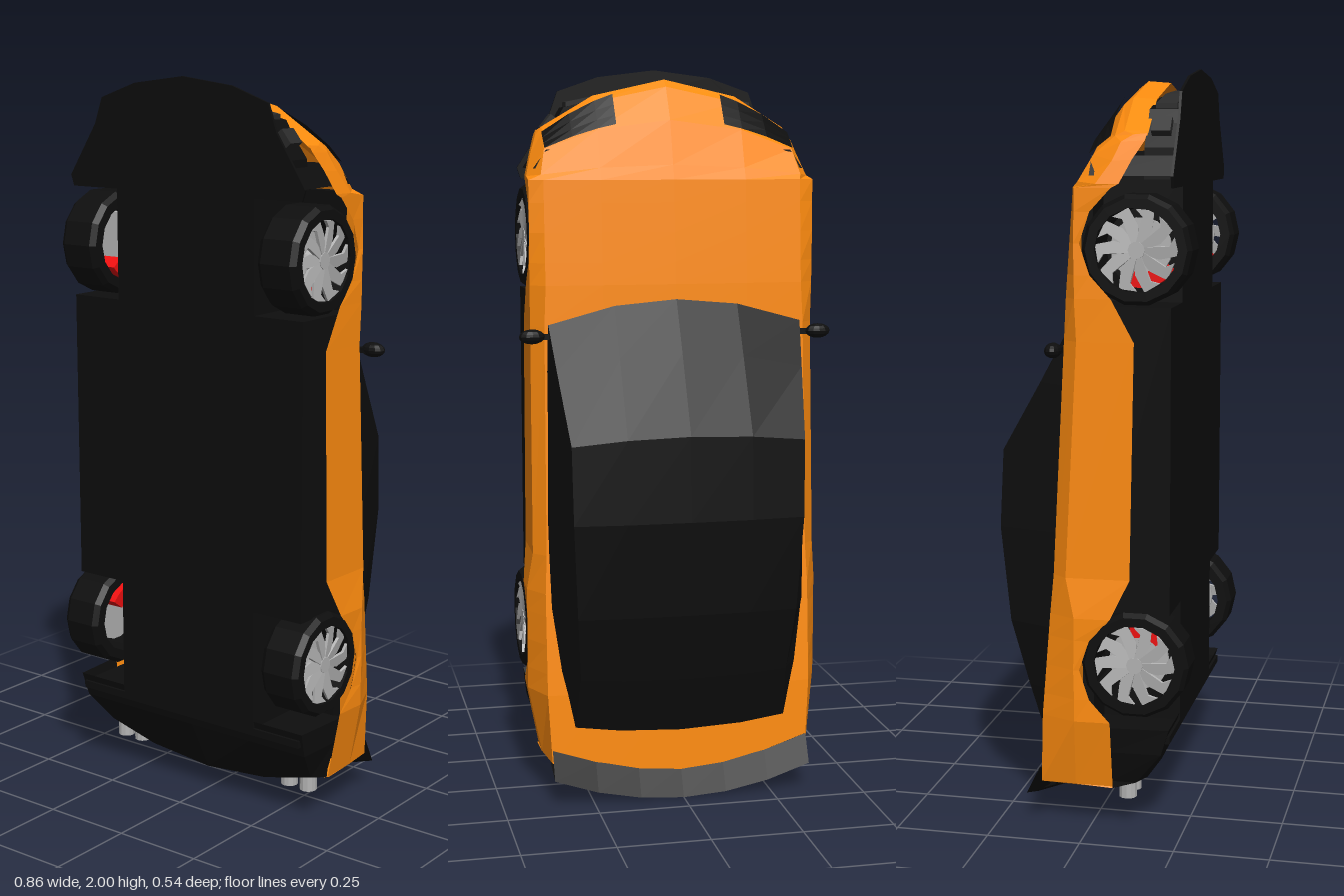
import * as THREE from 'three';

const mat = (color) => new THREE.MeshStandardMaterial({ color, flatShading: true, side: THREE.DoubleSide });
const orange = mat(0xff8c0f), black = mat(0x0e0e0e), dark = mat(0x2b2b2b);
const silver = mat(0xb4b4b4), red = mat(0xf01010);

function add(parent, name, geo, material) {
  const m = new THREE.Mesh(geo, material);
  m.name = name;
  parent.add(m);
}

// Lofts mirrored half sections. Row: [y at centre, bow in plan, [x, z], [x, z], ...] from outside to centre.
function loft(rows) {
  return skin(rows.map(([y, bow, ...half]) => {
    const other = half.filter((p) => p[0] > 0).reverse().map(([x, z]) => [-x, z]);
    return [...half, ...other].map(([x, z]) => [x, y - bow * (x / 0.39) ** 2, z]);
  }));
}

// Faceted surface over rows of points
function skin(grid) {
  const n = grid[0].length, index = [];
  for (let i = 0; i < grid.length - 1; i++) {
    for (let j = 0; j < n - 1; j++) {
      const a = i * n + j, b = a + 1, d = a + n, c = d + 1;
      index.push(a, d, b, b, d, c);
    }
  }
  const g = new THREE.BufferGeometry();
  g.setAttribute('position', new THREE.Float32BufferAttribute(grid.flat(2), 3));
  g.setIndex(index);
  const flat = g.toNonIndexed();
  flat.computeVertexNormals();
  return flat;
}

// Plan outline given for the +x half, extruded between two heights
function slab(half, z0, z1) {
  const pts = [...half, ...half.slice().reverse().map(([x, y]) => [-x, y])];
  const shape = new THREE.Shape(pts.map(([x, y]) => new THREE.Vector2(x, y)));
  return new THREE.ExtrudeGeometry(shape, { depth: z1 - z0, bevelEnabled: false }).translate(0, 0, z0);
}

function buildWheel() {
  const wheel = new THREE.Group();
  // Hollow tyre with its axle along x
  const profile = [[0.105, -0.06], [0.132, -0.06], [0.143, -0.045], [0.143, 0.045], [0.132, 0.06], [0.108, 0.06], [0.105, -0.06]];
  const tyre = new THREE.LatheGeometry(profile.map(([r, h]) => new THREE.Vector2(r, h)), 14);
  add(wheel, 'tyre', tyre.rotateZ(-Math.PI / 2), black);
  add(wheel, 'brakeDisc', new THREE.CylinderGeometry(0.08, 0.08, 0.012, 18).rotateZ(Math.PI / 2).translate(-0.01, 0, 0), silver);
  add(wheel, 'hub', new THREE.CylinderGeometry(0.022, 0.026, 0.05, 10).rotateZ(-Math.PI / 2).translate(0.03, 0, 0), silver);
  // Swept turbine blades
  const blade = new THREE.Shape();
  blade.moveTo(0.012, -0.01);
  blade.lineTo(0.06, -0.022);
  blade.lineTo(0.108, -0.012);
  blade.lineTo(0.098, 0.034);
  blade.lineTo(0.085, 0.012);
  blade.lineTo(0.015, 0.008);
  for (let i = 0; i < 10; i++) {
    const g = new THREE.ExtrudeGeometry(blade, { depth: 0.008, bevelEnabled: false });
    g.rotateX(0.15).rotateZ((i / 10) * Math.PI * 2).rotateY(Math.PI / 2).translate(0.045, 0, 0);
    add(wheel, 'rimBlade', g, silver);
  }
  return wheel;
}

// One body section: sill edge, side crease, shoulder and a gently crowned top
const section = (y, bow, x, sillZ, creaseZ, topX, topZ) =>
  [y, bow, [x, sillZ], [x + 0.004, creaseZ], [topX, topZ], [0.2, topZ - 0.006], [0, topZ - 0.008]];

// Sections over a wheel, with the sill edge raised into a faceted arch
const arch = (yMid, x, topX, topZ, slope) => [0.14, 0.08, 0, -0.08, -0.14].map((d) => {
  const sillZ = -0.022 + 0.082 * (d / 0.14) ** 2;
  return section(yMid + d, 0, x, sillZ, Math.min(sillZ, -0.02) - 0.015, topX, topZ + slope * d);
});

export function createModel() {
  const car = new THREE.Group();
  car.name = 'car';

  // Painted shell from nose to tail
  add(car, 'bodyShell', loft([
    section(1.965, 0.17, 0.345, 0.146, 0.146, 0.33, 0.146),
    section(1.97, 0.17, 0.347, 0.145, 0.11, 0.34, 0.085),
    section(1.95, 0.16, 0.355, 0.14, 0.08, 0.34, 0.06),
    section(1.86, 0.1, 0.371, 0.11, 0.06, 0.345, 0.005),
    section(1.74, 0.03, 0.388, 0.08, 0.02, 0.36, -0.033),
    ...arch(1.56, 0.39, 0.355, -0.056, 0.07),
    section(1.31, 0, 0.389, 0.12, -0.03, 0.36, -0.07),
    section(0.69, 0, 0.393, 0.11, -0.06, 0.365, -0.1),
    ...arch(0.445, 0.407, 0.37, -0.12, 0.08),
    section(0.055, -0.07, 0.371, 0.06, -0.04, 0.36, -0.138),
    section(0.05, -0.07, 0.37, 0.06, 0.06, 0.36, 0.06),
  ]), orange);

  // Dark cabin: windscreen, roof, side glass and rear window
  const cabin = (y, bow, baseX, baseZ, topX, topZ, crown) =>
    [y, bow, [baseX, baseZ], [topX, topZ], [0.17, topZ + (crown - topZ) * 0.8], [0, crown]];
  add(car, 'cabin', loft([
    cabin(1.38, 0.08, 0.35, -0.066, 0.35, -0.073, -0.083),
    cabin(1.24, 0.06, 0.356, -0.07, 0.338, -0.14, -0.157),
    cabin(1.03, 0.03, 0.358, -0.075, 0.318, -0.247, -0.262),
    cabin(0.8, 0, 0.361, -0.09, 0.315, -0.258, -0.272),
    cabin(0.54, 0, 0.355, -0.108, 0.302, -0.235, -0.248),
    cabin(0.35, -0.02, 0.33, -0.125, 0.288, -0.188, -0.2),
    cabin(0.19, -0.04, 0.3, -0.13, 0.295, -0.138, -0.146),
  ]), black);

  // Chassis with four wheel wells cut in
  add(car, 'chassis', slab([
    [0.38, 0.25], [0.38, 0.27], [0.23, 0.27], [0.23, 0.6], [0.385, 0.6], [0.385, 1.4],
    [0.23, 1.4], [0.23, 1.73], [0.375, 1.73], [0.34, 1.78],
  ], 0, 0.215), black);
  add(car, 'wheelHousing', slab([[0.35, 0.26], [0.35, 1.71]], -0.025, 0.005), black);

  // Rear bumper sloping up under the tail
  const bumper = (y, bow, sideX, x, z) => [y, bow, [sideX, 0.055], [x, z], [0.2, z], [0, z]];
  add(car, 'rearBumper', loft([
    bumper(0.05, -0.07, 0.365, 0.36, 0.058),
    bumper(0.07, -0.07, 0.365, 0.355, 0.12),
    bumper(0.22, 0, 0.39, 0.385, 0.193),
    bumper(0.29, 0, 0.4, 0.39, 0.214),
  ]), black);

  // Tail spoiler lip
  const lip = (y, z) => [y, -0.085, [0.36, z], [0.24, z], [0.12, z], [0, z]];
  add(car, 'spoiler', loft([lip(0.08, -0.143), lip(0.005, -0.18), lip(0.035, -0.1), lip(0.06, -0.09), lip(0.08, -0.143)]), black);

  // Front bumper, air intakes and splitter
  add(car, 'frontBumper', slab([[0.34, 1.72], [0.335, 1.8], [0.29, 1.86], [0.27, 1.895], [0.14, 1.925], [0, 1.935]], 0.135, 0.215), black);
  add(car, 'centreIntake', slab([[0.262, 1.8], [0.262, 1.91], [0.14, 1.935], [0, 1.945]], 0.15, 0.205), dark);
  add(car, 'splitter', slab([
    [0.38, 1.7], [0.39, 1.73], [0.345, 1.8], [0.3, 1.87], [0.275, 1.94], [0.16, 1.98], [0, 2],
  ], 0.213, 0.22), black);

  for (const s of [1, -1]) {
    const duct = new THREE.BoxGeometry(0.045, 0.03, 0.05).rotateZ(-s * 0.9).translate(s * 0.305, 1.85, 0.175);
    add(car, 'sideIntake', duct, dark);

    // Headlight panel laid on the nose slope
    const lamp = [0, 0.35, 0.7, 1].map((t) => [0.345, 0.27, 0.2, 0.15].map((x) => [
      s * x,
      1.953 - 0.09 * t - (0.16 - 0.06 * t) * (x / 0.39) ** 2,
      0.046 - 0.056 * t + (x > 0.3 ? 0.004 : 0),
    ]));
    if (s < 0) lamp.forEach((row) => row.reverse());
    add(car, 'headlight', skin(lamp), black);

    // Door mirror on a short stalk
    const pod = new THREE.SphereGeometry(1, 12, 8).scale(0.035, 0.02, 0.022).translate(s * 0.397, 1.287, -0.09);
    add(car, 'doorMirror', pod, black);
    add(car, 'mirrorStalk', new THREE.BoxGeometry(0.05, 0.015, 0.012).translate(s * 0.365, 1.285, -0.078), black);

    // Twin exhausts
    for (const x of [0.265, 0.328]) {
      const pipe = new THREE.CylinderGeometry(0.024, 0.024, 0.08, 12, 1, true).translate(s * x, 0.12, 0.093);
      add(car, 'exhaust', pipe, silver);
      add(car, 'exhaustBore', new THREE.CircleGeometry(0.022, 12).rotateX(Math.PI / 2).translate(s * x, 0.095, 0.093), black);
    }

    // Wheels and brake calipers
    for (const [name, y, x, side] of [['frontWheel', 1.545, 0.332, -1], ['rearWheel', 0.465, 0.348, 1]]) {
      const wheel = buildWheel();
      wheel.name = name;
      wheel.position.set(s * x, y, 0.125);
      if (s < 0) wheel.rotation.z = Math.PI;
      car.add(wheel);
      const caliper = new THREE.Shape();
      caliper.absarc(0, 0, 0.1, -0.6, 0.6, false);
      caliper.absarc(0, 0, 0.06, 0.6, -0.6, true);
      const g = new THREE.ExtrudeGeometry(caliper, { depth: 0.075, bevelEnabled: false, curveSegments: 6 });
      g.translate(0, 0, -0.0375).rotateY(Math.PI / 2).rotateX(side * Math.PI * 0.6);
      add(car, 'brakeCaliper', g.translate(s * (x - 0.04), y, 0.125), red);
    }
  }
  return car;
}
